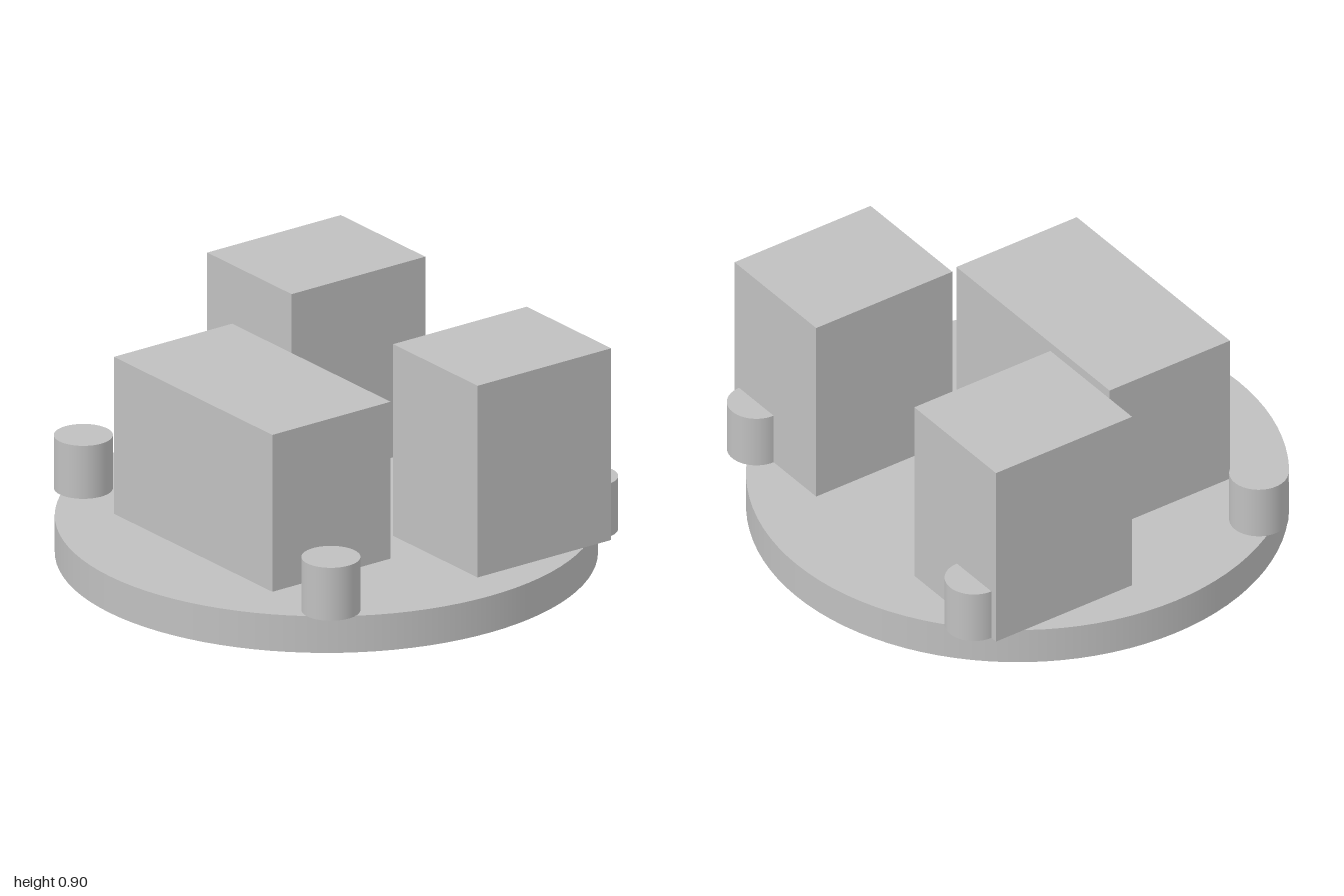
import * as THREE from 'three';

export function createModel() {
  const model = new THREE.Group();
  model.name = 'blocksOnRoundBase';

  const grey = new THREE.MeshStandardMaterial({ color: 0xc0c0c0 });
  grey.name = 'grey';

  const baseTop = 0.145;

  // Adds a part standing at the given height
  function add(name, geometry, height, x, bottom, z) {
    const mesh = new THREE.Mesh(geometry, grey);
    mesh.name = name;
    mesh.position.set(x, bottom + height / 2, z);
    model.add(mesh);
  }

  // Round base
  add('base', new THREE.CylinderGeometry(1, 1, baseTop, 96), baseTop, 0, 0, 0);

  // Wide front block
  add('frontBlock', new THREE.BoxGeometry(0.968, 0.622, 0.545), 0.622, 0, baseTop, 0.342);

  // Mirrored tall blocks and posts
  const tallBlock = new THREE.BoxGeometry(0.516, 0.76, 0.616);
  const post = new THREE.CylinderGeometry(0.109, 0.109, 0.21, 48);
  for (const [side, s] of [['left', 1], ['right', -1]]) {
    add(side + 'BackBlock', tallBlock, 0.76, s * 0.568, baseTop, -0.382);
    add(side + 'FrontPost', post, 0.21, s * 0.756, baseTop, 0.55);
    add(side + 'BackPost', post, 0.21, s * 0.688, baseTop, -0.69);
  }

  return model;
}
